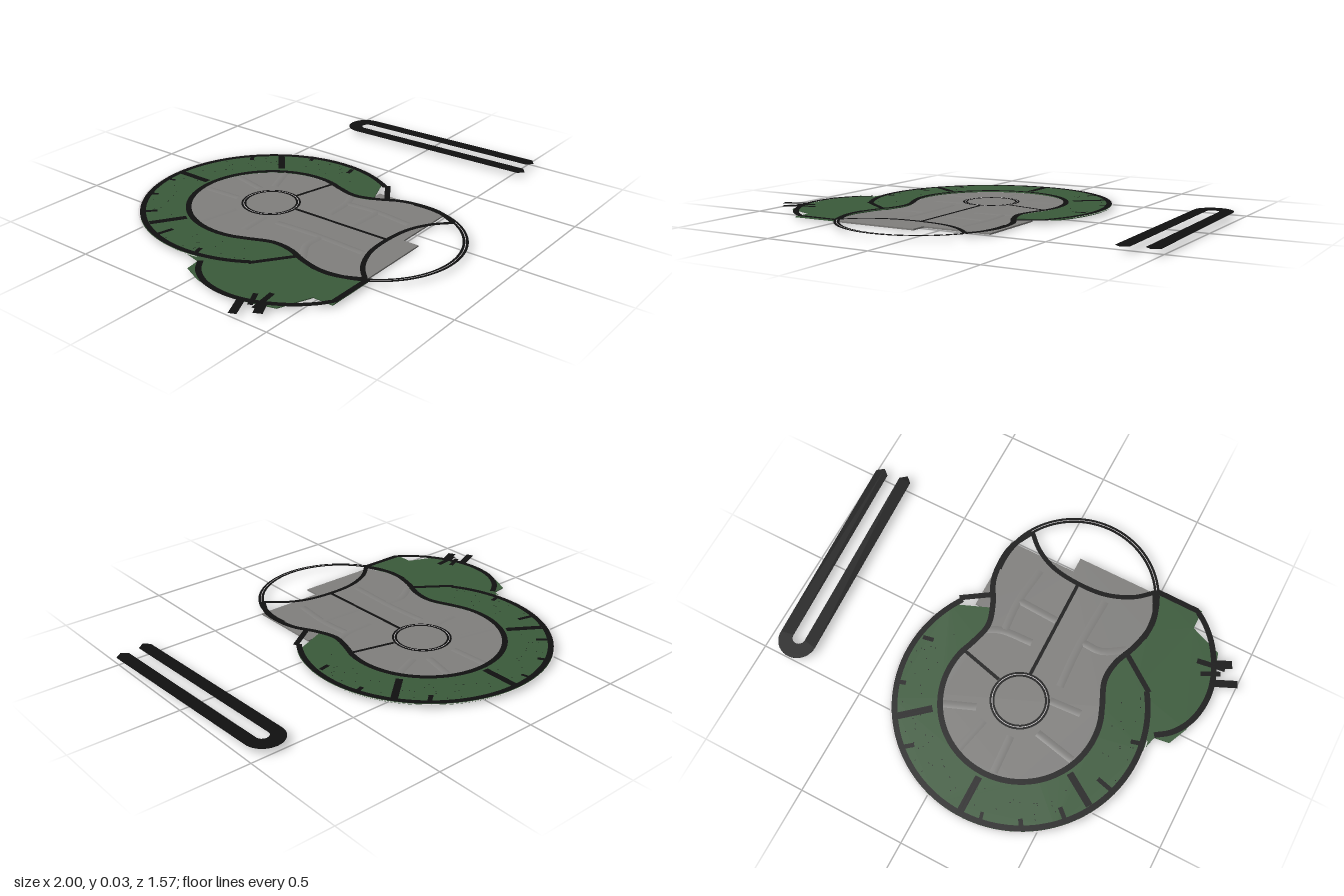
import * as THREE from 'three';
import { mergeGeometries } from 'three/addons/utils/BufferGeometryUtils.js';

const material = (name, color) => {
  const m = new THREE.MeshStandardMaterial({ color, side: THREE.DoubleSide });
  m.name = name;
  return m;
};

// Points are [x, z] on the ground plan
const arc = (cx, cz, r, from, to, n) => Array.from({ length: n + 1 }, (_, i) => {
  const a = THREE.MathUtils.degToRad(from + (to - from) * i / n);
  return [cx + r * Math.cos(a), cz + r * Math.sin(a)];
});
const smooth = (points, n) =>
  new THREE.CatmullRomCurve3(points.map(([x, z]) => new THREE.Vector3(x, 0, z)), false, 'centripetal')
    .getPoints(n).map(p => [p.x, p.z]);

// Thin flat slab cut to a plan outline
function slab(points, y, depth) {
  const shape = new THREE.Shape(points.map(([x, z]) => new THREE.Vector2(x, -z)));
  const g = new THREE.ExtrudeGeometry(shape, { depth, bevelEnabled: false });
  return g.rotateX(-Math.PI / 2).translate(0, y, 0);
}

// Flat strip along a path; crown lifts its middle into a ridge
function strip(points, width, y, crown = 0) {
  const pos = [], index = [];
  points.forEach((p, i) => {
    const first = i === 0, last = i === points.length - 1;
    const closed = Math.hypot(points[0][0] - points.at(-1)[0], points[0][1] - points.at(-1)[1]) < 1e-6;
    const a = first ? (closed ? points.at(-2) : p) : points[i - 1];
    const b = last ? (closed ? points[1] : p) : points[i + 1];
    const dx = b[0] - a[0], dz = b[1] - a[1], l = Math.hypot(dx, dz) || 1;
    for (const s of [-1, 0, 1]) {
      pos.push(p[0] - dz / l * s * width / 2, y + (s ? 0 : crown), p[1] + dx / l * s * width / 2);
    }
    if (!last) for (const k of [0, 1]) {
      const q = i * 3 + k;
      index.push(q, q + 1, q + 3, q + 1, q + 4, q + 3);
    }
  });
  const g = new THREE.BufferGeometry();
  g.setAttribute('position', new THREE.Float32BufferAttribute(pos, 3));
  g.setIndex(index);
  g.computeVertexNormals();
  return g;
}

export function createModel() {
  const group = new THREE.Group();
  const green = material('grass green', 0x3a5a3a);
  const grey = material('floor grey', 0x807f7d);
  const black = material('border black', 0x101010);
  const pale = material('pale edging', 0xd8d4d6);
  const add = (name, geometry, mat) => {
    const mesh = new THREE.Mesh(geometry, mat);
    mesh.name = name;
    group.add(mesh);
  };

  // Keyhole outline of the paved floor, left foot to right foot
  const leftWaist = [[-0.48, 0.565], [-0.525, 0.46], [-0.53, 0.38], [-0.505, 0.27], [-0.465, 0.17], [-0.457, 0.07]];
  const rightWaist = [[0.137, 0.06], [0.165, 0.16], [0.22, 0.27], [0.235, 0.38], [0.225, 0.47], [0.175, 0.575]];
  const head = arc(-0.17, -0.2, 0.365, 155, 385, 20);
  const keyhole = smooth([...leftWaist, ...head, ...rightWaist], 140);
  const upperRight = keyhole.filter(p => p[1] < 0.15);

  // Paved floor with its stepped lower edge
  const floor = [...leftWaist, ...head, [0.137, 0.06], [0.155, 0.13], [0.24, 0.13], [0.24, 0.49], [-0.09, 0.49], [-0.09, 0.565]];
  add('pavedFloor', slab(floor, 0.002, 0.007), grey);

  // Soft ridges between the paving panels, above and below
  const seams = [
    [[-0.21, -0.54], [-0.2, -0.36]], [[-0.02, -0.52], [-0.06, -0.35]],
    [[-0.49, -0.33], [-0.3, -0.29]], [[-0.43, -0.12], [-0.28, -0.13]],
    [[0.0, -0.31], [0.15, -0.37]], [[-0.29, -0.05], [-0.28, 0.15], [-0.29, 0.42]],
    [[-0.48, 0.25], [-0.38, 0.19], [-0.29, 0.19]], [[-0.08, 0.08], [0.07, 0.07], [0.14, 0.04]],
    [[0.06, 0.08], [0.07, 0.23], [0.05, 0.42]], [[-0.13, 0.23], [0.07, 0.24]],
  ];
  const ring = arc(-0.16, -0.195, 0.19, 0, 360, 8);
  add('floorRidges', mergeGeometries(seams.map(s => strip(smooth(s, 8), 0.035, 0.009, 0.004))), grey);
  add('undersideRidges', mergeGeometries([...seams, ring].map(s => strip(s, 0.03, 0.002, -0.002))), grey);

  // Grass ring around the head and side lawn
  const lawn = arc(-0.17, -0.2, 0.583, 148, 388, 72);
  add('grassRing', slab([...lawn, ...upperRight.slice().reverse(), [-0.48, 0.24]], 0.009, 0.004), green);
  add('sideLawn', slab([
    [-0.75, -0.15], [-0.77, -0.07], [-0.84, -0.06], [-0.88, 0.03], [-0.905, 0.14], [-0.9, 0.28], [-0.86, 0.43],
    [-0.71, 0.49], [-0.71, 0.585], [-0.48, 0.585], [-0.525, 0.46], [-0.53, 0.38], [-0.505, 0.27], [-0.47, 0.18], [-0.6, 0.1],
  ], 0.0085, 0.004), green);

  // Small dark specks scattered over the grass
  let seed = 7;
  const random = () => (seed = (seed * 16807) % 2147483647) / 2147483647;
  const specks = [];
  for (let i = 0; i < 70; i++) {
    const a = (150 + 230 * random()) * Math.PI / 180, r = 0.42 + 0.13 * random();
    specks.push(new THREE.CircleGeometry(0.003, 4).rotateX(-Math.PI / 2)
      .translate(-0.17 + r * Math.cos(a), 0.0145, -0.2 + r * Math.sin(a)));
  }
  add('grassSpecks', mergeGeometries(specks), black);

  // Main borders
  add('outerBorder', strip(arc(-0.17, -0.2, 0.57, 147, 394, 90), 0.026, 0.016), black);
  add('outerEdging', strip(arc(-0.17, -0.2, 0.588, 170, 380, 90), 0.005, 0.015), pale);
  add('keyholeBorder', strip(keyhole, 0.026, 0.017), black);
  const sideBorder = smooth([[-0.765, -0.06], [-0.83, -0.01], [-0.885, 0.08], [-0.905, 0.2], [-0.885, 0.32],
    [-0.82, 0.45], [-0.75, 0.53], [-0.69, 0.575]], 32);
  add('sideLawnBorder', strip([...sideBorder, [-0.48, 0.577]], 0.026, 0.016), black);

  // Round front pool outline with its curved back edge
  add('frontCircleBorder', strip(arc(-0.15, 0.39, 0.38, -8, 188, 60), 0.026, 0.0175), black);
  add('frontCircleEdging', strip(arc(-0.15, 0.39, 0.38, 30, 150, 40), 0.003, 0.0182), pale);
  add('frontArch', strip(smooth([[-0.48, 0.57], [-0.4, 0.5], [-0.28, 0.45], [-0.14, 0.44], [0, 0.46], [0.1, 0.51], [0.175, 0.58]], 32), 0.022, 0.018), black);

  // Centre ring and floor dividers
  add('centreRing', strip(arc(-0.16, -0.195, 0.125, 0, 360, 48), 0.022, 0.018), black);
  add('centreRingEdging', strip(arc(-0.16, -0.195, 0.125, 0, 360, 48), 0.003, 0.0187), pale);

  // Straight bars: [x1, z1, x2, z2, width]
  const bars = {
    floorDivider: [[-0.145, -0.06, -0.14, 0.43, 0.016], [-0.03, -0.15, 0.17, -0.1, 0.016]],
    grassDivider: [[-0.163, -0.77, -0.163, -0.59, 0.032], [-0.65, -0.48, -0.51, -0.39, 0.032],
      [0.3, -0.52, 0.17, -0.41, 0.032], [-0.66, 0.11, -0.48, 0.24, 0.024], [0.32, 0.12, 0.2, 0.2, 0.026]],
    grassTick: [[-0.71, -0.375, -0.63, -0.355, 0.02], [-0.74, -0.12, -0.685, -0.135, 0.02],
      [-0.59, -0.59, -0.54, -0.545, 0.02], [-0.43, -0.7, -0.41, -0.67, 0.02], [-0.26, -0.76, -0.25, -0.72, 0.015],
      [0.21, -0.635, 0.16, -0.595, 0.02], [0.385, -0.375, 0.335, -0.36, 0.02], [0.375, -0.13, 0.325, -0.12, 0.02]],
    sideBar: [[-1, 0.33, -0.9, 0.285, 0.035], [-0.94, 0.405, -0.87, 0.37, 0.04], [-0.92, 0.37, -0.79, 0.35, 0.025],
      [-0.91, 0.34, -0.83, 0.3, 0.022]],
  };
  for (const [name, list] of Object.entries(bars)) {
    add(name, mergeGeometries(list.map(([a, b, c, d, w]) => strip([[a, b], [c, d]], w, 0.017))), black);
  }

  // Separate hairpin strip with pointed ends
  const hairpin = [
    [0.845, 0.56], [0.817, 0.535], ...arc(0.875, -0.41, 0.09, 180, 360, 20), [0.997, 0.52], [0.965, 0.545], [0.935, 0.52],
    ...arc(0.875, -0.4, 0.03, 360, 180, 12), [0.877, 0.535],
  ];
  add('hairpinStrip', slab(hairpin, 0.025, 0.002), black);

  return group;
}
